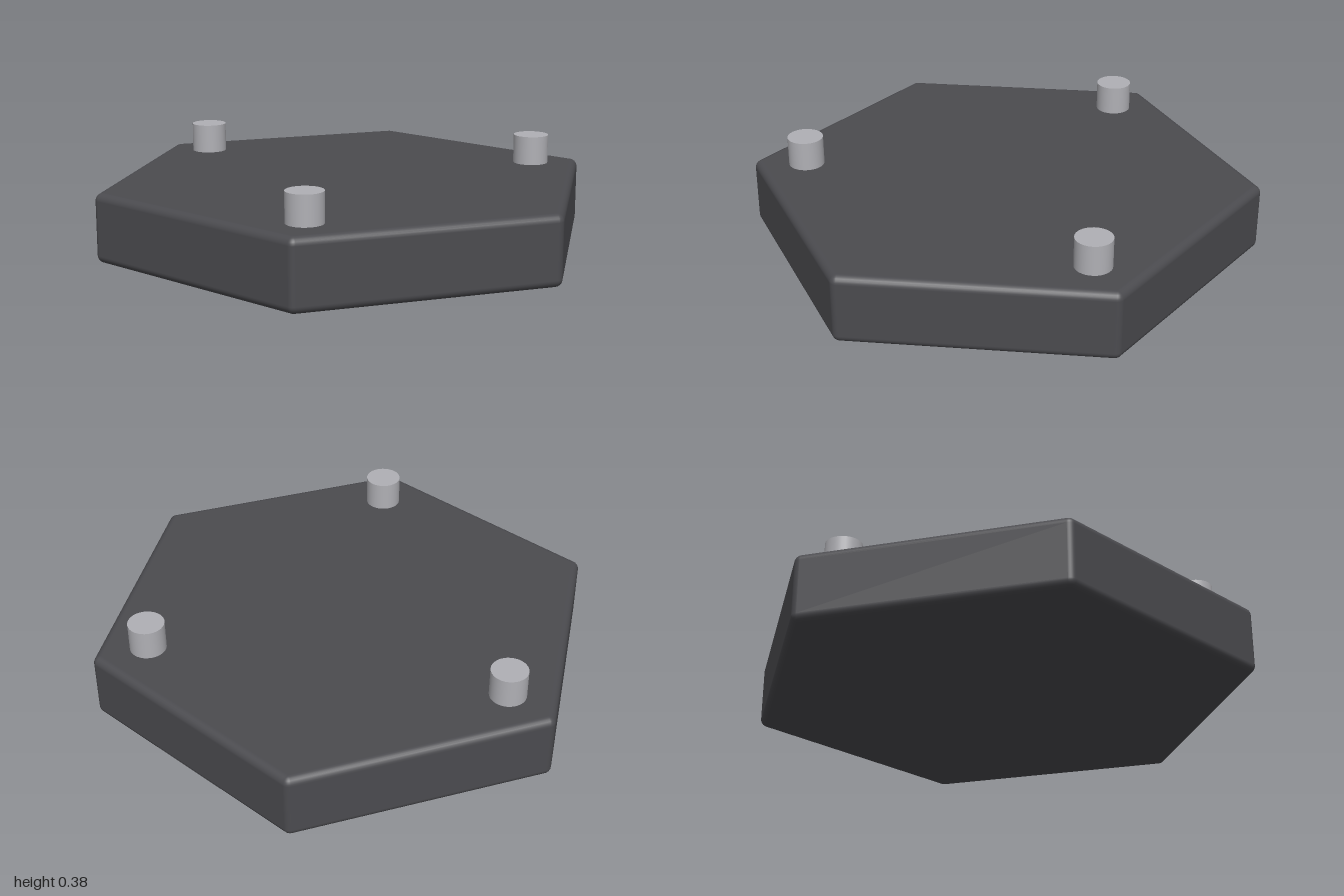
import * as THREE from 'three';

const APOTHEM = 0.87, HEIGHT = 0.27, ROUND = 0.03;
const PEG_RADIUS = 0.07, PEG_TOP = 0.385, PEG_DISTANCE = 0.79;

// Hexagonal slab with every edge and corner rounded, stacked from cross-section loops
function roundedHexagon(apothem, height, r, steps = 6) {
  const cornerDistance = (apothem - r) / Math.cos(Math.PI / 6);
  const positions = [], normals = [], index = [];

  // Outline: a 60 degree arc around each corner, points at +z and -z
  const outline = [];
  for (let c = 0; c < 6; c++) {
    const corner = Math.PI / 6 + c * Math.PI / 3;
    for (let s = 0; s <= steps; s++) {
      const a = corner + (s / steps - 0.5) * Math.PI / 3;
      outline.push({
        x: Math.cos(corner) * cornerDistance, z: Math.sin(corner) * cornerDistance,
        dx: Math.cos(a), dz: Math.sin(a),
      });
    }
  }

  // Side profile: quarter round at the bottom, then at the top
  const profile = [];
  for (const side of [0, 1]) {
    for (let s = 0; s <= steps; s++) {
      const phi = (s / steps - 1 + side) * Math.PI / 2;
      profile.push({ y: side ? height - r : r, out: Math.cos(phi), up: Math.sin(phi) });
    }
  }

  for (const p of profile) {
    for (const o of outline) {
      positions.push(o.x + o.dx * p.out * r, p.y + p.up * r, o.z + o.dz * p.out * r);
      normals.push(o.dx * p.out, p.up, o.dz * p.out);
    }
  }
  const n = outline.length, last = (profile.length - 1) * n;
  for (let j = 0; j < profile.length - 1; j++) {
    for (let i = 0; i < n; i++) {
      const k = (i + 1) % n, a = j * n + i, b = j * n + k;
      index.push(a, a + n, b, b, a + n, b + n);
    }
  }

  // Flat bottom and top faces
  const centre = positions.length / 3;
  positions.push(0, 0, 0, 0, height, 0);
  normals.push(0, -1, 0, 0, 1, 0);
  for (let i = 0; i < n; i++) {
    const k = (i + 1) % n;
    index.push(centre, i, k, centre + 1, last + k, last + i);
  }

  const geometry = new THREE.BufferGeometry();
  geometry.setAttribute('position', new THREE.Float32BufferAttribute(positions, 3));
  geometry.setAttribute('normal', new THREE.Float32BufferAttribute(normals, 3));
  geometry.setIndex(index);
  return geometry;
}

export function createModel() {
  const group = new THREE.Group();
  group.name = 'hexagonalBaseWithPegs';

  const darkGrey = new THREE.MeshStandardMaterial({ color: 0x4b4b4f });
  darkGrey.name = 'dark grey';
  const lightGrey = new THREE.MeshStandardMaterial({ color: 0xb0b0b5 });
  lightGrey.name = 'light grey';

  const base = new THREE.Mesh(roundedHexagon(APOTHEM, HEIGHT, ROUND), darkGrey);
  base.name = 'base';
  group.add(base);

  // Three pegs near alternate corners, sunk slightly into the base
  const bottom = HEIGHT - 0.02;
  const pegGeometry = new THREE.CylinderGeometry(PEG_RADIUS, PEG_RADIUS, PEG_TOP - bottom, 32);
  ['backPeg', 'leftPeg', 'rightPeg'].forEach((name, i) => {
    const a = -Math.PI / 2 + i * Math.PI * 2 / 3;
    const peg = new THREE.Mesh(pegGeometry, lightGrey);
    peg.name = name;
    peg.position.set(Math.cos(a) * PEG_DISTANCE, (PEG_TOP + bottom) / 2, Math.sin(a) * PEG_DISTANCE);
    group.add(peg);
  });

  return group;
}
